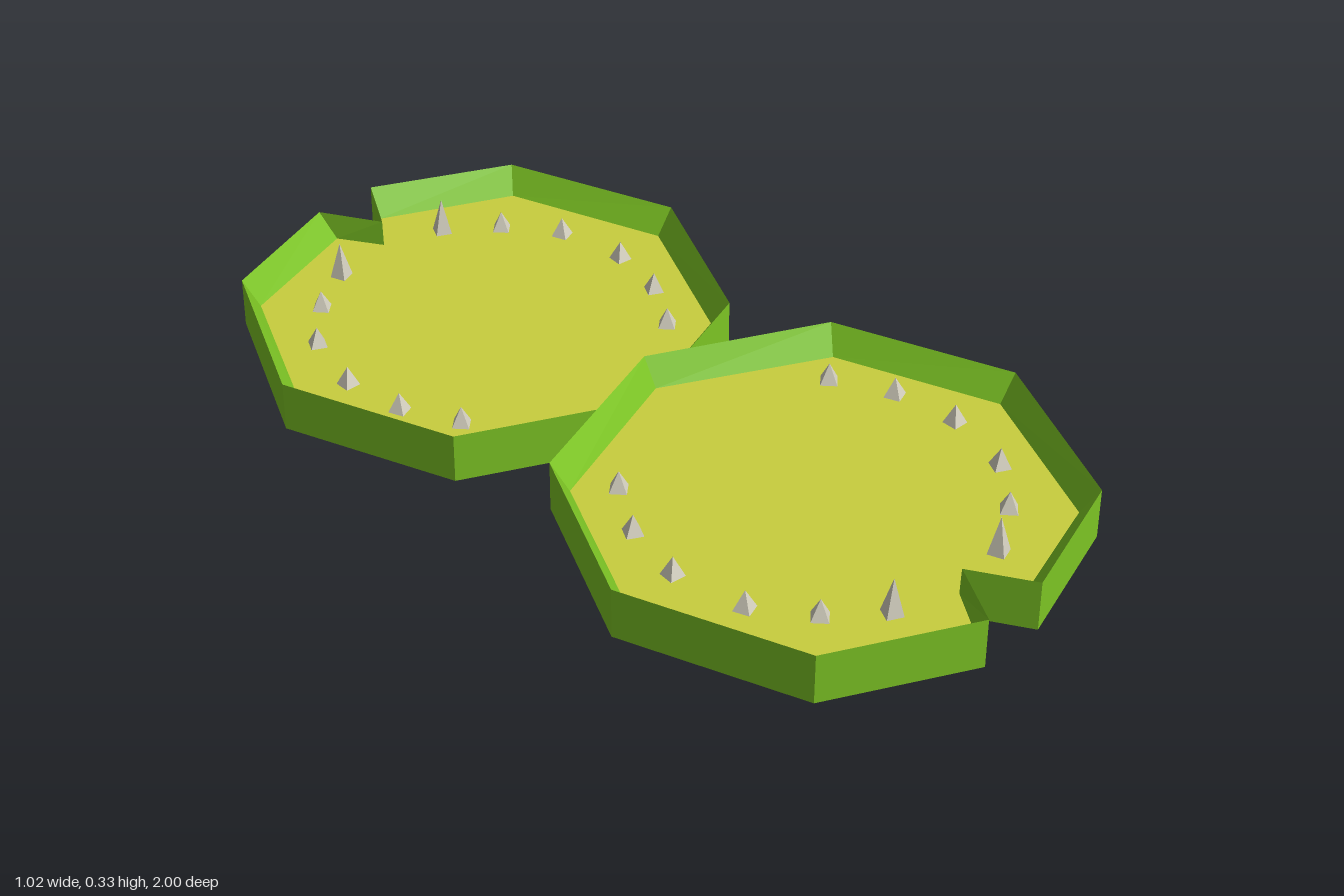
import * as THREE from 'three';

const HEIGHT = 0.108, FLOOR = 0.05;
const paint = (color, flatShading = true) => new THREE.MeshStandardMaterial({ color, flatShading });

// Notched octagon outlines as [x, z], counter-clockwise from above
const OUTER = [[0, 0.87], [0.08, 0.99], [0.36, 0.875], [0.512, 0.51], [0.36, 0.15], [0, 0],
  [-0.36, 0.15], [-0.512, 0.51], [-0.36, 0.875], [-0.065, 1]];
const INNER = [[0, 0.868], [0.062, 0.955], [0.338, 0.845], [0.475, 0.51], [0.338, 0.182], [0, 0.035],
  [-0.338, 0.182], [-0.475, 0.51], [-0.338, 0.845], [-0.055, 0.96]];
// Teeth down one side, the last (beside the notch) being the fang
const TEETH = [[0.27, 0.237], [0.335, 0.355], [0.36, 0.495], [0.325, 0.65], [0.24, 0.755], [0.135, 0.83]];

function mesh(name, geometry, material) {
  const m = new THREE.Mesh(geometry, material);
  m.name = name;
  return m;
}

// Band of flat quads joining two outlines at two heights
function band(a, ya, b, yb) {
  const pos = [];
  a.forEach((p, i) => {
    const j = (i + 1) % a.length;
    const a0 = [p[0], ya, p[1]], a1 = [a[j][0], ya, a[j][1]];
    const b0 = [b[i][0], yb, b[i][1]], b1 = [b[j][0], yb, b[j][1]];
    pos.push(...a0, ...a1, ...b1, ...a0, ...b1, ...b0);
  });
  const g = new THREE.BufferGeometry();
  g.setAttribute('position', new THREE.Float32BufferAttribute(pos, 3));
  g.computeVertexNormals();
  return g;
}

// Flat cap facing up (dir 1) or down (dir -1)
function cap(outline, y, dir) {
  const shape = new THREE.Shape(outline.map(([x, z]) => new THREE.Vector2(x, -dir * z)));
  return new THREE.ShapeGeometry(shape).rotateX(-dir * Math.PI / 2).translate(0, y, 0);
}

function createJaw(name) {
  const jaw = new THREE.Group();
  jaw.name = name;
  const green = paint(0x7cc424), tooth = paint(0xd2cebe);
  jaw.add(
    mesh('outerWall', band(OUTER, 0, OUTER, HEIGHT), green),
    mesh('innerWall', band(OUTER, HEIGHT, INNER, FLOOR), green),
    mesh('underside', cap(OUTER, 0, -1), green),
    mesh('mouthFloor', cap(INNER, FLOOR, 1), paint(0xc8ce3e)),
  );
  // Four-sided spikes around the rim, mirrored left and right
  for (const side of [1, -1]) {
    TEETH.forEach(([x, z], i) => {
      const fang = i === TEETH.length - 1;
      const h = fang ? 0.08 : 0.042;
      const spike = mesh(fang ? 'fang' : 'tooth', new THREE.ConeGeometry(0.024, h, 4), tooth);
      spike.position.set(side * x + 0.005, FLOOR + h / 2, z);
      spike.rotation.y = Math.atan2(side * x, z - 0.51) + Math.PI / 4;
      jaw.add(spike);
    });
  }
  return jaw;
}

export function createModel() {
  const model = new THREE.Group();
  model.name = 'openTrap';

  const front = createJaw('frontJaw');
  front.position.y = 0.197;
  const back = createJaw('backJaw');
  back.position.y = 0.09;
  back.rotation.y = Math.PI;
  model.add(front, back);

  // Rounded eyes set into the underside of the back jaw
  const red = paint(0xd01c0e, false);
  for (const side of [1, -1]) {
    const eye = mesh(side > 0 ? 'leftEye' : 'rightEye',
      new THREE.SphereGeometry(1, 9, 6, 0, Math.PI * 2, Math.PI / 3, Math.PI * 2 / 3), red);
    eye.scale.set(0.075, 0.082, 0.12);
    eye.position.set(side * 0.207, 0.082, -0.553);
    model.add(eye);
  }
  return model;
}
